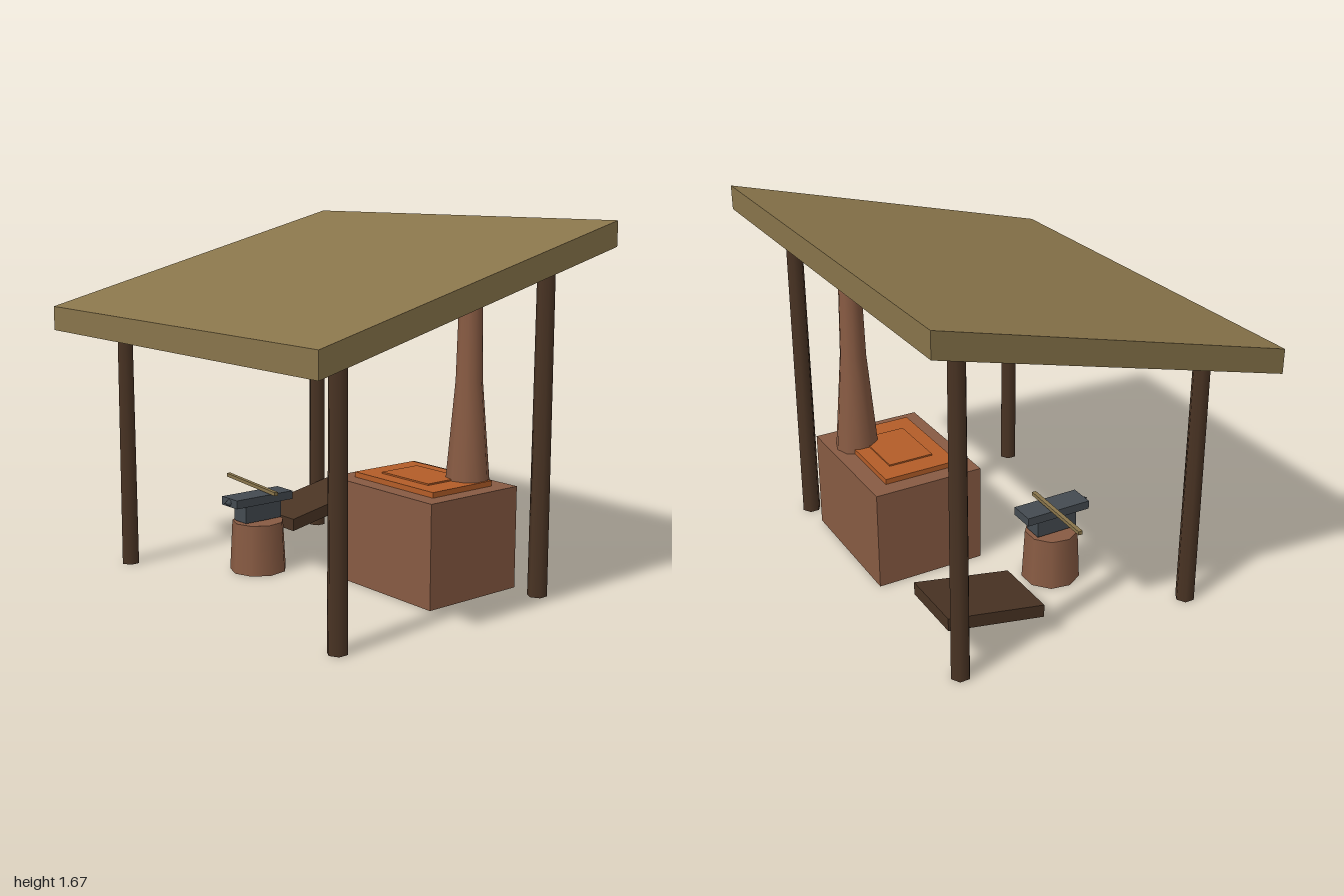
import * as THREE from 'three';

const mat = (name, color) => {
  const m = new THREE.MeshStandardMaterial({ color });
  m.name = name;
  return m;
};

export function createModel() {
  const thatch = mat('thatch', 0x89754b);
  const darkWood = mat('dark wood', 0x4a3424);
  const brick = mat('brick', 0x885b43);
  const iron = mat('iron', 0x444b51);
  const ember = mat('ember', 0xb45d28);

  const model = new THREE.Group();
  const add = (name, geometry, material, x = 0, y = 0, z = 0, parent = model) => {
    const mesh = new THREE.Mesh(geometry, material);
    mesh.name = name;
    mesh.position.set(x, y, z);
    parent.add(mesh);
    return mesh;
  };

  // Box given by its low and high corners
  const box = (name, material, [x0, y0, z0], [x1, y1, z1], parent) =>
    add(name, new THREE.BoxGeometry(x1 - x0, y1 - y0, z1 - z0), material,
      (x0 + x1) / 2, (y0 + y1) / 2, (z0 + z1) / 2, parent);

  // Slab with upright edges whose back is raised by "rise"
  const slopedSlab = (name, material, width, thick, depth, rise, x, y, z) => {
    const g = new THREE.BoxGeometry(width, thick, depth);
    const p = g.attributes.position;
    for (let i = 0; i < p.count; i++) p.setY(i, p.getY(i) - (p.getZ(i) / depth) * rise);
    g.computeVertexNormals();
    return add(name, g, material, x, y, z);
  };

  // Lean-to roof
  slopedSlab('roof', thatch, 2, 0.112, 1.63, 0.42, 0, 1.404, 0);

  // Four posts, taller at the back
  for (const side of [-1, 1]) {
    for (const [name, z, h] of [['frontPost', 0.555, 1.16], ['backPost', -0.605, 1.48]]) {
      add(name, new THREE.CylinderGeometry(0.04, 0.045, h, 6), darkWood, side * 0.793, h / 2, z);
    }
  }

  // Brick forge with coals and a tapering chimney
  const forge = new THREE.Group();
  forge.name = 'forge';
  model.add(forge);
  box('hearth', brick, [-0.03, 0, -0.61], [0.65, 0.475, -0.08], forge);
  box('coalBed', ember, [0.05, 0.47, -0.525], [0.575, 0.5, -0.16], forge);
  box('hotCoals', ember, [0.155, 0.495, -0.455], [0.465, 0.507, -0.235], forge);
  const chimneyProfile = [[0.103, 0.47], [0.062, 0.95], [0.053, 1.318]]
    .map(([r, y]) => new THREE.Vector2(r, y));
  add('chimney', new THREE.LatheGeometry(chimneyProfile, 10), brick, 0.47, 0, -0.475, forge);
  const cap = add('chimneyTop', new THREE.CircleGeometry(0.053, 10), brick, 0.47, 1.318, -0.475, forge);
  cap.rotation.x = -Math.PI / 2;

  // Stump carrying the anvil
  add('stump', new THREE.CylinderGeometry(0.123, 0.136, 0.24, 9), brick, -0.32, 0.12, 0.13);

  const anvil = new THREE.Group();
  anvil.name = 'anvil';
  model.add(anvil);
  box('anvilBase', iron, [-0.367, 0.248, 0.03], [-0.273, 0.335, 0.235], anvil);
  box('anvilTop', iron, [-0.38, 0.33, -0.03], [-0.26, 0.37, 0.295], anvil);
  const horn = add('anvilHorn', new THREE.ConeGeometry(0.016, 0.03, 8), iron, -0.32, 0.35, 0.31, anvil);
  horn.rotation.x = Math.PI / 2;

  // Wooden handle lying across the anvil
  const from = new THREE.Vector3(-0.635, 0.398, 0.081);
  const to = new THREE.Vector3(-0.212, 0.382, 0.102);
  const handle = add('handle', new THREE.BoxGeometry(0.02, 0.017, from.distanceTo(to)), thatch);
  handle.position.lerpVectors(from, to, 0.5);
  handle.lookAt(to);

  // Sloping board at the back
  slopedSlab('board', darkWood, 0.31, 0.06, 0.465, 0.09, -0.585, 0.185, -0.398);

  return model;
}
